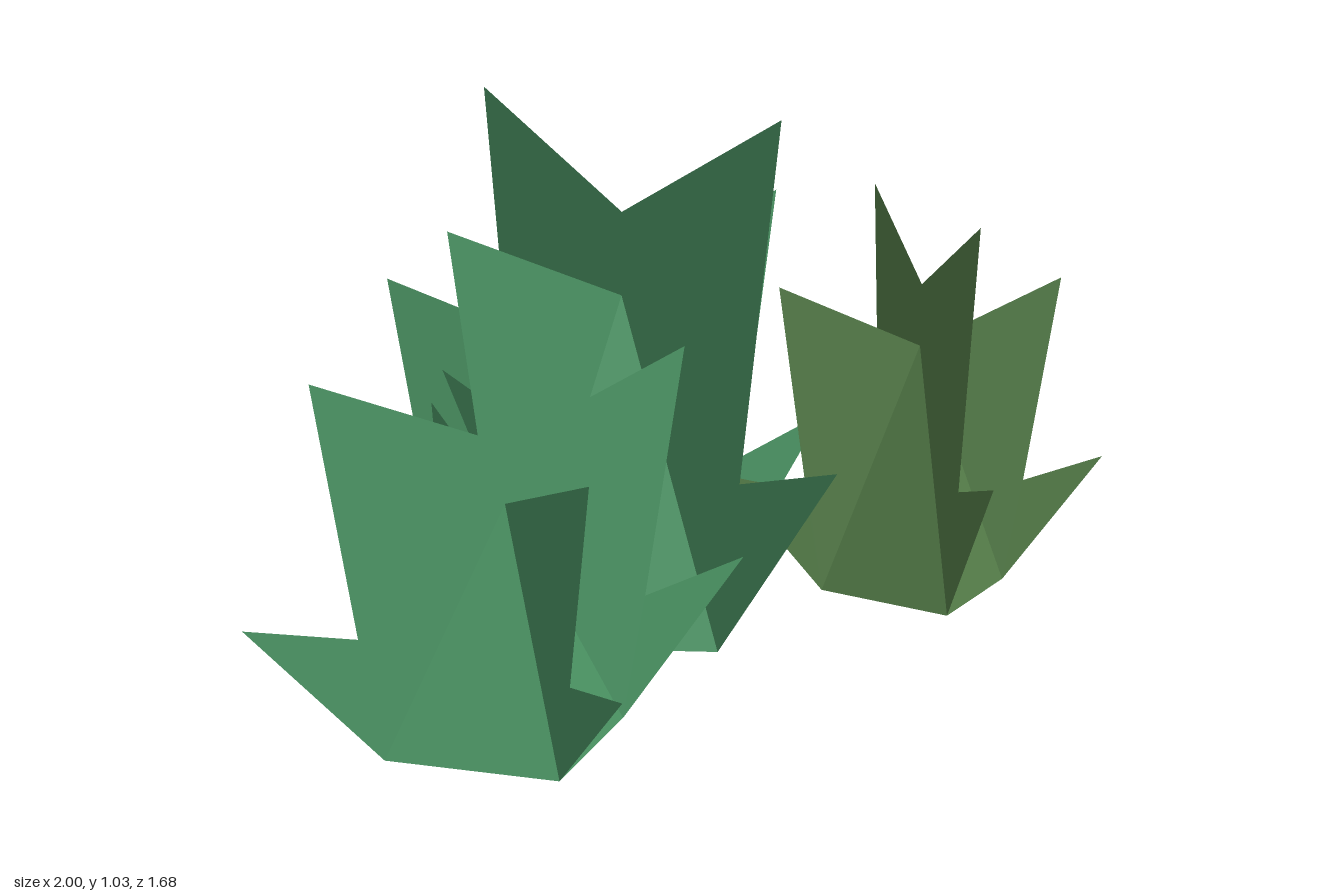
import * as THREE from 'three';

// Unit tuft: long blades along x, base corners at 1, long blade tips at y = 1
const APEX = 0.636;
const SHORT = 0.8;

// One half of a ragged leaf blade, joined to the ridge of the core
function bladeGeometry(k) {
  const outline = [[1, 0], [2.07, 0.4 * k], [1.19, 0.333 * k], [1.52, k], [0, 0.795 * k]];
  if (k === 1) outline.push([0, APEX]);
  return new THREE.ShapeGeometry(new THREE.Shape(outline.map(([x, y]) => new THREE.Vector2(x, y))));
}

// Open four-sided pyramid with faceted normals
function coreGeometry() {
  const g = new THREE.ConeGeometry(1, APEX, 4, 1, true).translate(0, APEX / 2, 0).toNonIndexed();
  g.computeVertexNormals();
  return g;
}

function makeTuft(name, material, [x, z], height, [longHalf, shortHalf], angle) {
  const tuft = new THREE.Group();
  tuft.name = name;
  const core = new THREE.Mesh(coreGeometry(), material);
  core.name = 'core';
  tuft.add(core);
  for (let i = 0; i < 4; i++) {
    const long = i % 2 === 0;
    const blade = new THREE.Mesh(bladeGeometry(long ? 1 : SHORT), material);
    blade.name = long ? 'longBlade' : 'shortBlade';
    blade.rotation.y = i * Math.PI / 2;
    tuft.add(blade);
  }
  tuft.position.set(x, 0, z);
  tuft.rotation.y = angle;
  tuft.scale.set(longHalf, height, shortHalf);
  return tuft;
}

export function createModel() {
  const green = new THREE.MeshStandardMaterial({ color: 0x4c9665, side: THREE.DoubleSide });
  green.name = 'leafGreen';
  const olive = new THREE.MeshStandardMaterial({ color: 0x567f4a, side: THREE.DoubleSide });
  olive.name = 'oliveGreen';

  const model = new THREE.Group();
  model.name = 'grassTufts';
  model.add(
    makeTuft('centreTuft', green, [0.035, 0.053], 1.03, [0.279, 0.279], Math.PI / 2),
    makeTuft('rightTuft', green, [-0.552, 0.416], 0.66, [0.225, 0.211], -0.258),
    makeTuft('leftTuft', olive, [0.64, 0.294], 0.803, [0.211, 0.198], 1.049),
    makeTuft('backTuft', green, [0.277, -0.553], 0.575, [0.196, 0.174], -0.79),
  );
  return model;
}
